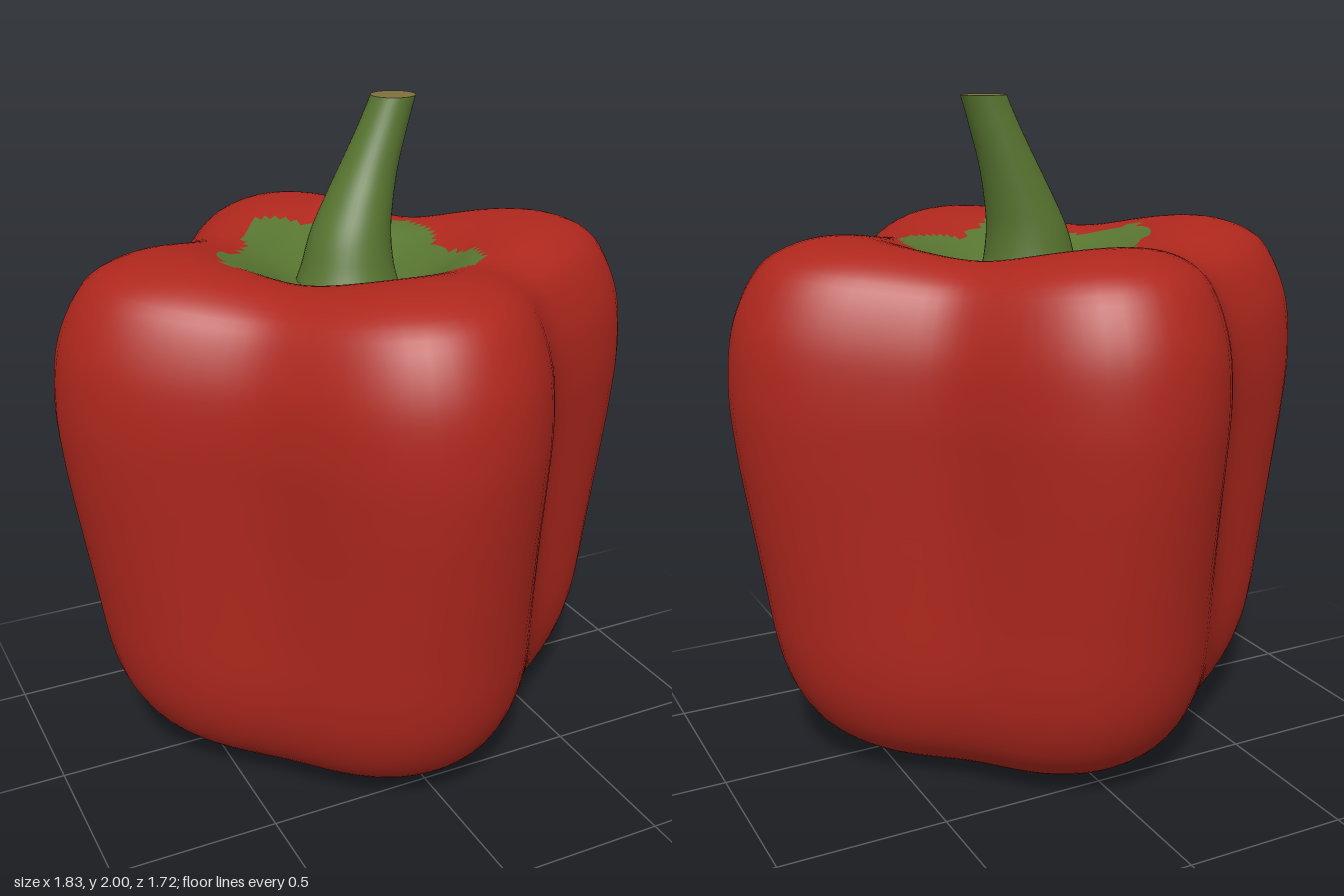
import * as THREE from 'three';

const AROUND = 96;
const V2 = (x, y) => new THREE.Vector2(x, y);
const paint = (color) => new THREE.MeshStandardMaterial({ color });

// Closed rings stacked bottom to top; point(row, angle) gives [x, y, z].
function loft(rows, around, point) {
  const positions = [], index = [];
  for (let i = 0; i < rows; i++) {
    for (let j = 0; j < around; j++) positions.push(...point(i, (j / around) * Math.PI * 2));
  }
  for (let i = 0; i < rows - 1; i++) {
    for (let j = 0; j < around; j++) {
      const k = (j + 1) % around;
      const a = i * around + j, b = a + around, c = i * around + k, d = c + around;
      index.push(a, b, c, c, b, d);
    }
  }
  const geometry = new THREE.BufferGeometry();
  geometry.setAttribute('position', new THREE.Float32BufferAttribute(positions, 3));
  geometry.setIndex(index);
  geometry.computeVertexNormals();
  return geometry;
}

// Outline through the middle of a lobe, from the underside to the stem hollow
const outline = new THREE.SplineCurve([
  V2(0, 0.03), V2(0.12, 0.02), V2(0.27, 0.003), V2(0.42, 0.018), V2(0.56, 0.055), V2(0.68, 0.14),
  V2(0.76, 0.26), V2(0.805, 0.4), V2(0.838, 0.6), V2(0.873, 0.82), V2(0.902, 1.02), V2(0.914, 1.2),
  V2(0.892, 1.38), V2(0.815, 1.53), V2(0.71, 1.592), V2(0.58, 1.612), V2(0.44, 1.592),
  V2(0.3, 1.535), V2(0.2, 1.485), V2(0.1, 1.455), V2(0, 1.45),
]).getSpacedPoints(95);

// Four lobes: pull the flesh inward and the shoulders down between them
function fleshPoint(i, angle) {
  const { x: r, y } = outline[i];
  const shift = THREE.MathUtils.degToRad(2.2 - 2 * Math.cos(angle + Math.PI / 4));
  const valley = (1 - Math.cos(4 * (angle - shift))) / 2;
  const fade = THREE.MathUtils.smoothstep(r, 0.08, 0.5);
  const depth = (0.15 + 0.115 * THREE.MathUtils.smoothstep(y, -0.2, 1.1) + 0.025 * Math.cos(angle)) * fade;
  const radius = r * (1 - depth * valley);
  const drop = 0.05 * valley * fade * THREE.MathUtils.smoothstep(y, 1.0, 1.55);
  return [radius * Math.cos(angle), y - drop, radius * 0.942 * Math.sin(angle)];
}

// Five-pointed green patch around the stem
function inCalyx(x, y, z) {
  if (y < 1.3) return false;
  const fromCentre = x + 0.025;
  return Math.hypot(fromCentre, z) < 0.36 + 0.045 * Math.cos(5 * (Math.atan2(z, fromCentre) - Math.PI));
}

export function createModel() {
  const model = new THREE.Group();
  const add = (name, geometry, material) => {
    const mesh = new THREE.Mesh(geometry, material);
    mesh.name = name;
    model.add(mesh);
    return mesh;
  };
  const red = paint(0xae271d), green = paint(0x587530), tan = paint(0x80703f);

  // Flesh and calyx share one smooth surface, divided face by face
  const surface = loft(outline.length, AROUND, fleshPoint);
  const p = surface.attributes.position, all = surface.index.array;
  const fleshFaces = [], calyxFaces = [];
  for (let i = 0; i < all.length; i += 6) {
    const a = all[i], d = all[i + 5];
    const mid = [p.getX(a) + p.getX(d), p.getY(a) + p.getY(d), p.getZ(a) + p.getZ(d)].map((v) => v / 2);
    (inCalyx(...mid) ? calyxFaces : fleshFaces).push(...all.slice(i, i + 6));
  }
  for (const [name, faces, material] of [['flesh', fleshFaces, red], ['calyx', calyxFaces, green]]) {
    const part = new THREE.BufferGeometry();
    part.setAttribute('position', p);
    part.setAttribute('normal', surface.attributes.normal);
    part.setIndex(faces);
    add(name, part, material);
  }

  // Stem: level rings along a leaning curve, flared at the base
  const centres = new THREE.CatmullRomCurve3([
    [-0.015, 1.44, -0.02], [-0.01, 1.52, -0.022], [0.002, 1.61, -0.028], [0.031, 1.7, -0.036],
    [0.07, 1.8, -0.044], [0.112, 1.9, -0.048], [0.152, 2, -0.05],
  ].map((c) => new THREE.Vector3(...c)));
  const radii = new THREE.SplineCurve([0.16, 0.138, 0.121, 0.104, 0.087, 0.075, 0.067].map((r, i) => V2(i, r)));
  const ROWS = 30;
  add('stem', loft(ROWS, 40, (i, angle) => {
    const c = centres.getPoint(i / (ROWS - 1)), r = radii.getPoint(i / (ROWS - 1)).y;
    return [c.x + r * Math.cos(angle), c.y, c.z + r * Math.sin(angle)];
  }), green);

  // Cut end of the stem
  const cut = add('stemCut', new THREE.CircleGeometry(0.067, 40).rotateX(-Math.PI / 2), tan);
  cut.position.set(0.152, 2, -0.05);

  return model;
}
